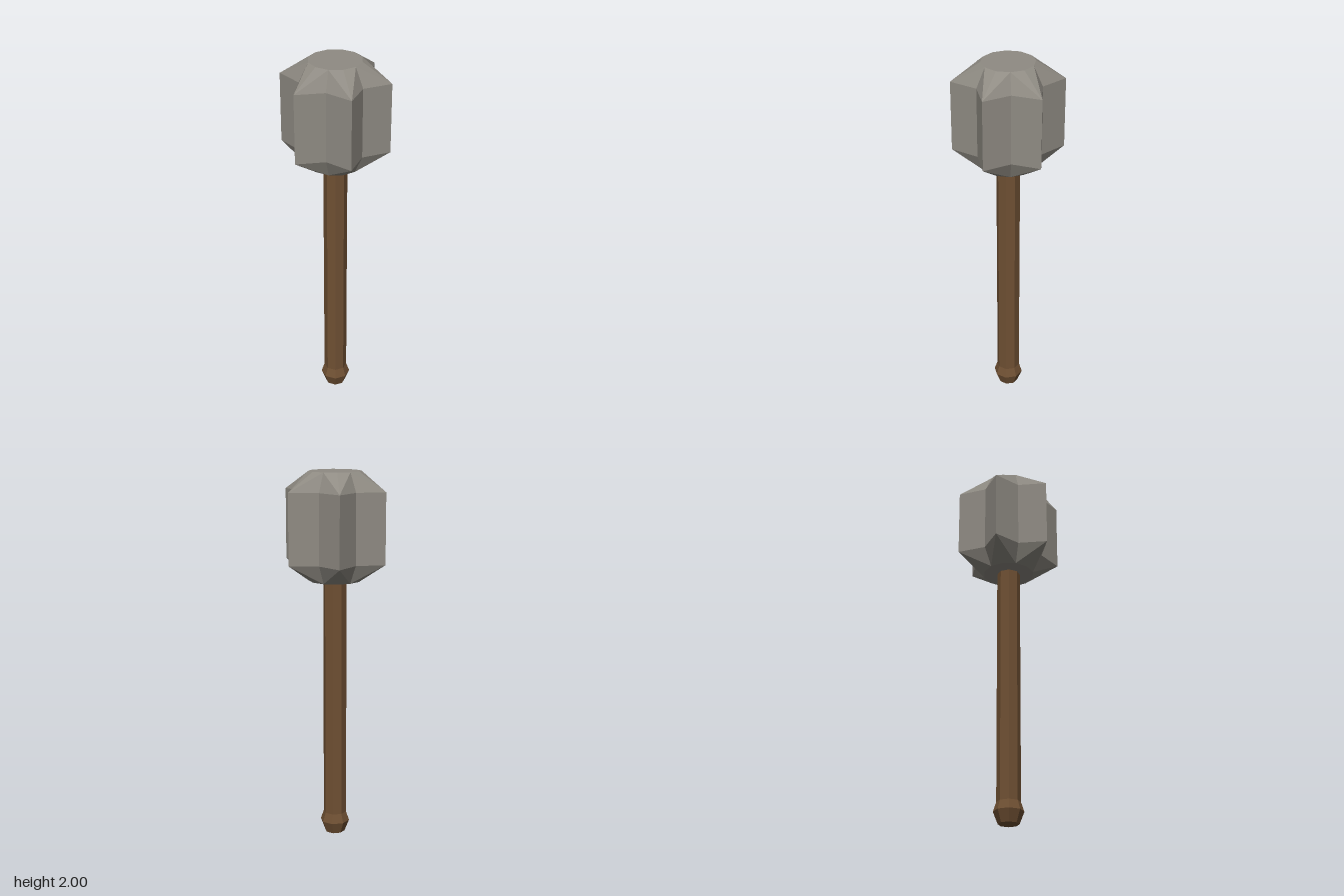
import * as THREE from 'three';

const stone = new THREE.MeshStandardMaterial({ color: 0x8f8b83, flatShading: true });
stone.name = 'grey stone';
const wood = new THREE.MeshStandardMaterial({ color: 0x6f5033, flatShading: true });
wood.name = 'brown wood';

// Closed, faceted solid from rings listed bottom to top; radius(ring, i) sets each corner
function loft(heights, sides, radius) {
  const pos = [];
  const corner = (r, i) => {
    const k = i % sides, a = (k / sides) * Math.PI * 2, d = radius(r, k);
    return [Math.cos(a) * d, heights[r], Math.sin(a) * d];
  };
  const tri = (a, b, c) => pos.push(...a, ...b, ...c);
  const last = heights.length - 1;
  for (let i = 0; i < sides; i++) {
    for (let r = 0; r < last; r++) {
      const a = corner(r, i), b = corner(r, i + 1);
      const c = corner(r + 1, i + 1), d = corner(r + 1, i);
      // diagonals mirror from side to side, so every ridge is symmetrical
      if ((i % 2 === 0) === (r < last / 2)) { tri(a, d, b); tri(b, d, c); }
      else { tri(a, d, c); tri(a, c, b); }
    }
    tri([0, heights[0], 0], corner(0, i), corner(0, i + 1));
    tri([0, heights[last], 0], corner(last, i + 1), corner(last, i));
  }
  const geo = new THREE.BufferGeometry();
  geo.setAttribute('position', new THREE.Float32BufferAttribute(pos, 3));
  geo.computeVertexNormals();
  return geo;
}

export function createModel() {
  const group = new THREE.Group();
  const add = (name, geo, material) => {
    const mesh = new THREE.Mesh(geo, material);
    mesh.name = name;
    group.add(mesh);
  };

  // Octagonal shaft
  add('shaft', loft([0.115, 1.43], 8, () => 0.063), wood);

  // Flared pommel at the foot of the shaft
  const flare = [0.055, 0.08, 0.063];
  add('pommel', loft([0, 0.065, 0.115], 8, r => flare[r]), wood);

  // Six-ridged head tapering to round ends
  add('maceHead', loft([1.425, 1.525, 1.9, 2], 12,
    (r, i) => (r === 0 || r === 3 ? 0.139 : i % 2 ? 0.189 : 0.29)), stone);

  return group;
}
